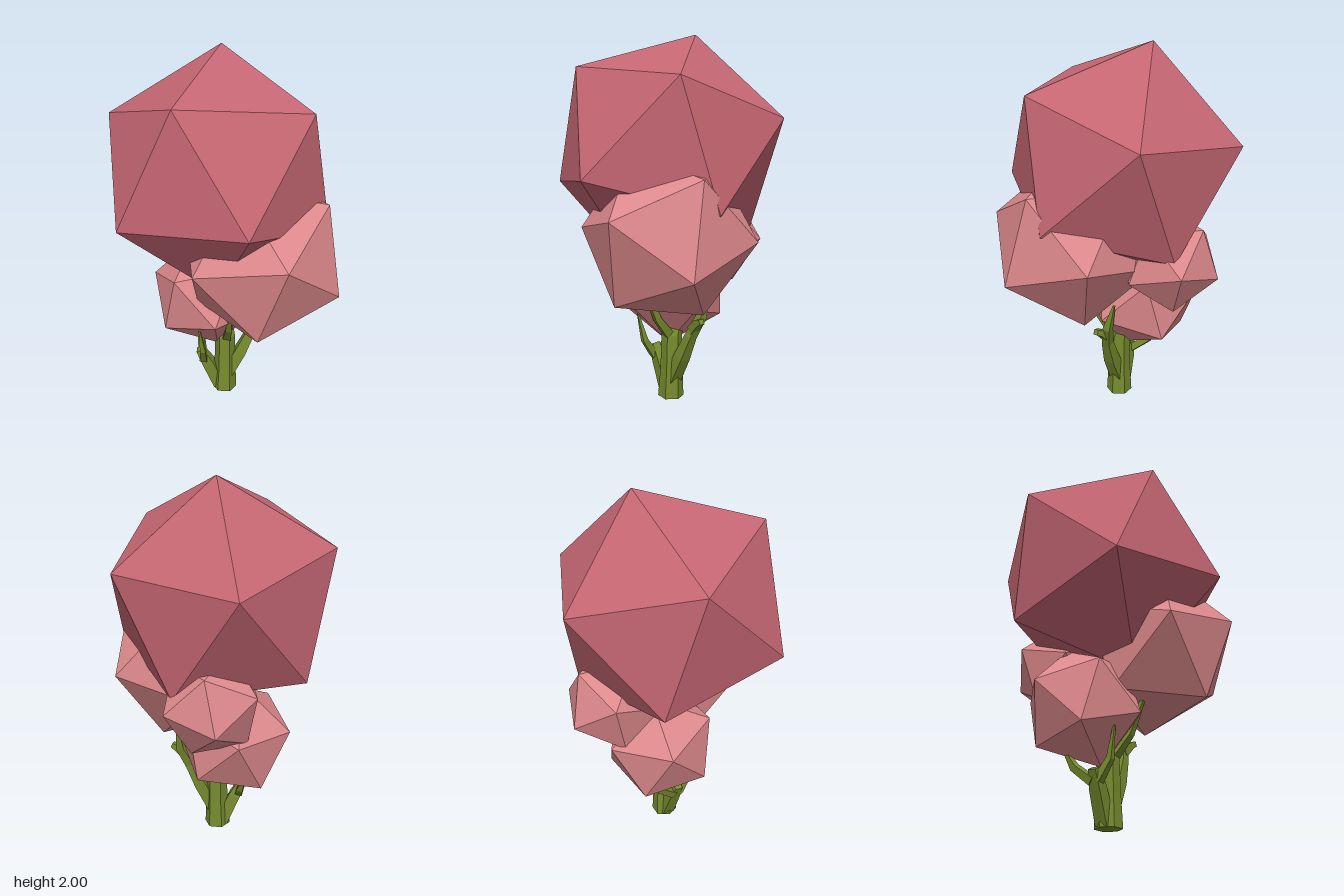
import * as THREE from 'three';

const V = (a) => new THREE.Vector3(...a);
const mat = (color) => new THREE.MeshStandardMaterial({ color, flatShading: true });

// Orthonormal frame from two directions
function frame(p, q) {
  const x = p.clone().normalize();
  const z = p.clone().cross(q).normalize();
  return new THREE.Matrix4().makeBasis(x, z.clone().cross(x), z);
}

// Twenty-sided foliage clump, turned so two adjacent corners point along a and b
function clump(name, center, r, a, b, material) {
  const g = new THREE.IcosahedronGeometry(r, 0);
  const t = (1 + Math.sqrt(5)) / 2;
  const source = frame(V([-1, t, 0]), V([1, t, 0]));
  g.applyMatrix4(frame(V(a), V(b)).multiply(source.transpose()));
  const mesh = new THREE.Mesh(g, material);
  mesh.name = name;
  mesh.position.set(...center);
  return mesh;
}

// Faceted tapering limb through points [x, y, z, radius]
function limb(name, path, sides, material) {
  const pts = path.map((p) => V(p.slice(0, 3)));
  const rings = pts.map((p, k) => {
    const t = pts[Math.min(k + 1, pts.length - 1)].clone().sub(pts[Math.max(k - 1, 0)]).normalize();
    const u = V([0, 0, 1]).addScaledVector(t, -t.z).normalize();
    const v = t.clone().cross(u);
    return Array.from({ length: sides }, (_, i) => {
      const a = ((i + 0.5) / sides) * Math.PI * 2;
      return p.clone().addScaledVector(u, Math.cos(a) * path[k][3]).addScaledVector(v, Math.sin(a) * path[k][3]);
    });
  });
  const tris = [];
  const last = rings.length - 1;
  for (let i = 0; i < sides; i++) {
    const j = (i + 1) % sides;
    for (let k = 0; k < last; k++) {
      const [a, b, c, d] = [rings[k][i], rings[k][j], rings[k + 1][j], rings[k + 1][i]];
      tris.push(a, b, c, a, c, d);
    }
    tris.push(pts[0], rings[0][j], rings[0][i], pts[last], rings[last][i], rings[last][j]);
  }
  const g = new THREE.BufferGeometry().setFromPoints(tris);
  g.computeVertexNormals();
  const mesh = new THREE.Mesh(g, material);
  mesh.name = name;
  return mesh;
}

export function createModel() {
  const tree = new THREE.Group();
  tree.name = 'tree';
  const rose = mat(0xc46672);
  const pink = mat(0xdd898c);
  const green = mat(0x768b2e);

  // Foliage
  tree.add(
    clump('crown', [-0.03, 1.38, 0], 0.65, [0, 0.62, -0.19], [-0.18, 0.44, 0.45], rose),
    clump('frontFoliage', [0.198, 0.969, 0.146], 0.461, [0.412, -0.159, 0.134], [0.132, 0.121, 0.424], pink),
    clump('lowerFoliage', [-0.11, 0.61, -0.092], 0.325, [0.073, -0.069, 0.309], [-0.158, 0.17, 0.228], pink),
    clump('backFoliage', [-0.024, 0.885, -0.311], 0.278, [0.204, -0.005, -0.189], [-0.016, 0.205, -0.189], pink),
  );

  // Trunk and branches
  const limbs = {
    trunk: [[-0.003, 0, -0.01, 0.072], [0, 0.17, -0.012, 0.062], [0, 0.36, -0.015, 0.058], [0, 0.48, -0.05, 0.035]],
    leftBranch: [[-0.03, 0.02, -0.01, 0.05], [-0.1, 0.18, 0, 0.045], [-0.145, 0.27, 0.01, 0.032]],
    leftFrontTwig: [[-0.125, 0.21, 0.02, 0.03], [-0.12, 0.31, 0.09, 0.022], [-0.135, 0.47, 0.125, 0.006]],
    leftBackTwig: [[-0.13, 0.21, -0.01, 0.03], [-0.15, 0.29, -0.11, 0.026], [-0.175, 0.37, -0.15, 0.012]],
    rightBranch: [[0.01, 0.1, -0.01, 0.05], [0.09, 0.25, -0.02, 0.046], [0.15, 0.38, -0.035, 0.034], [0.2, 0.5, -0.07, 0.03], [0.205, 0.65, -0.115, 0.007]],
    rightKnob: [[0.16, 0.42, -0.04, 0.032], [0.22, 0.475, -0.035, 0.027], [0.255, 0.49, -0.03, 0.02]],
    frontTwig: [[0.01, 0.35, 0, 0.035], [0.03, 0.47, 0.1, 0.026], [0.04, 0.64, 0.18, 0.012]],
  };
  for (const [name, path] of Object.entries(limbs)) tree.add(limb(name, path, name === 'trunk' ? 6 : 4, green));
  return tree;
}
